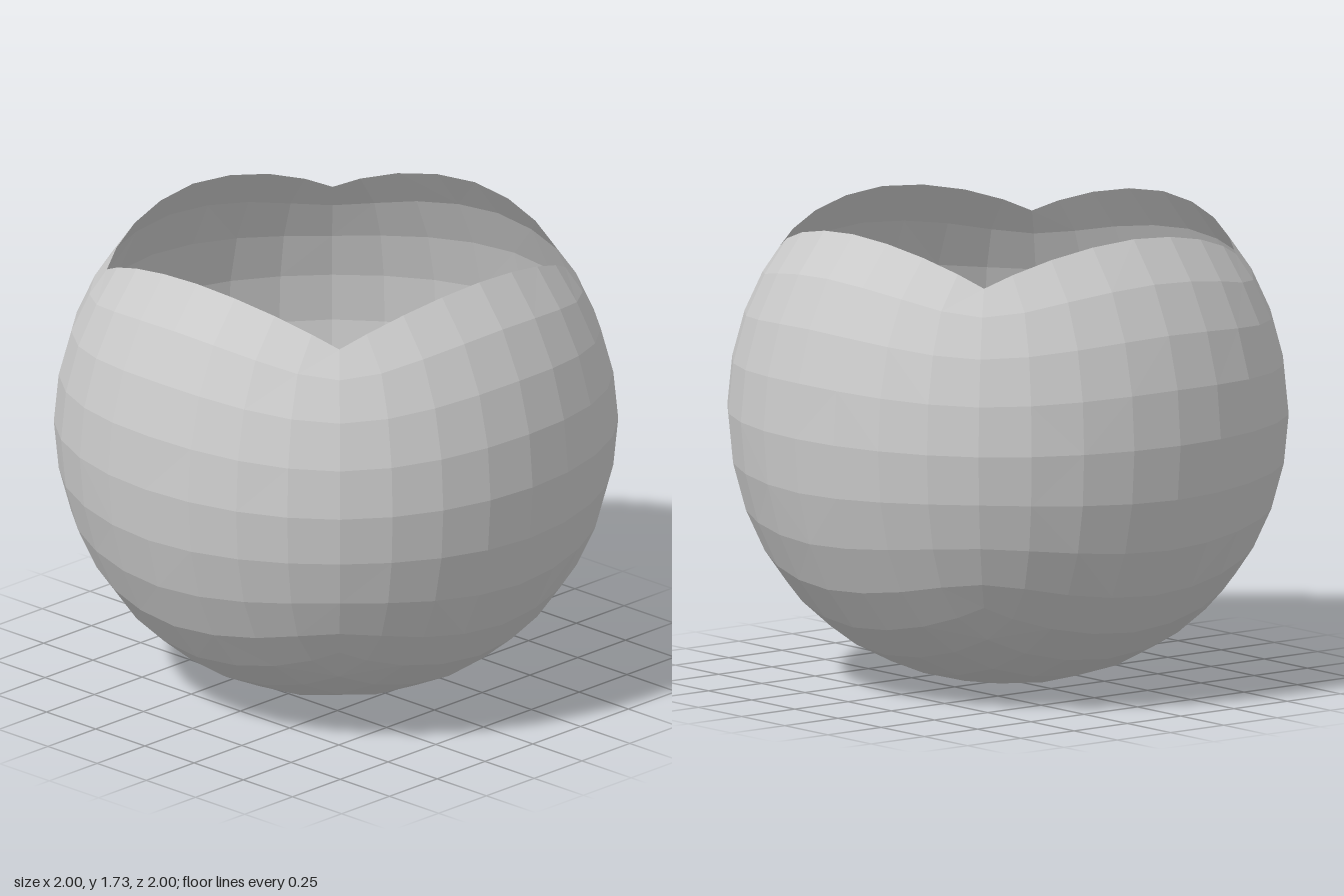
import * as THREE from 'three';

// One Catmull-Clark smoothing step on a closed quad mesh; each quad becomes four in sequence
function subdivide(points, quads) {
  const out = points.map(() => new THREE.Vector3());
  const around = points.map(() => ({ n: 0, faces: new THREE.Vector3(), mids: new THREE.Vector3() }));
  const edges = new Map();
  const edgeKey = (a, b) => (a < b ? `${a}_${b}` : `${b}_${a}`);

  // Face points
  const faceIds = quads.map((q) => {
    const centre = new THREE.Vector3();
    q.forEach((i) => centre.addScaledVector(points[i], 0.25));
    q.forEach((a, k) => {
      const b = q[(k + 1) % 4];
      const key = edgeKey(a, b);
      if (!edges.has(key)) edges.set(key, { a, b, sum: new THREE.Vector3() });
      edges.get(key).sum.add(centre);
      around[a].n++;
      around[a].faces.add(centre);
    });
    return out.push(centre) - 1;
  });

  // Edge points
  for (const e of edges.values()) {
    const ends = points[e.a].clone().add(points[e.b]);
    around[e.a].mids.addScaledVector(ends, 0.5);
    around[e.b].mids.addScaledVector(ends, 0.5);
    e.id = out.push(e.sum.add(ends).multiplyScalar(0.25)) - 1;
  }

  // Moved original points
  points.forEach((p, i) => {
    const { n, faces, mids } = around[i];
    out[i].addScaledVector(faces, 1 / (n * n)).addScaledVector(mids, 2 / (n * n)).addScaledVector(p, (n - 3) / n);
  });

  const newQuads = quads.flatMap((q, f) => q.map((a, k) => [
    a,
    edges.get(edgeKey(a, q[(k + 1) % 4])).id,
    faceIds[f],
    edges.get(edgeKey(q[(k + 3) % 4], a)).id,
  ]));
  return [newQuads, out];
}

export function createModel() {
  // Cube cage: corner index bits are x, y, z; the top side comes last
  let points = Array.from({ length: 8 }, (_, i) =>
    new THREE.Vector3(i & 1 ? 1 : -1, i & 2 ? 1 : -1, i & 4 ? 1 : -1));
  let quads = [
    [4, 5, 7, 6], // front
    [1, 0, 2, 3], // back
    [5, 1, 3, 7], // left
    [0, 4, 6, 2], // right
    [0, 1, 5, 4], // bottom
    [6, 7, 3, 2], // top
  ];
  for (let level = 0; level < 3; level++) [quads, points] = subdivide(points, quads);

  // Leave the top patch open and scale to a width of 2
  const open = quads.slice(0, (quads.length * 5) / 6);
  const radius = Math.max(...points.map((p) => p.x));
  const geometry = new THREE.BufferGeometry().setFromPoints(points);
  geometry.setIndex(open.flatMap(([a, b, c, d]) => [a, b, c, a, c, d]));
  geometry.scale(1 / radius, 1 / radius, 1 / radius);
  geometry.translate(0, 1, 0);
  geometry.computeVertexNormals();

  const bowl = new THREE.Mesh(geometry, new THREE.MeshStandardMaterial({
    color: 0xcccccc, flatShading: true, side: THREE.DoubleSide,
  }));
  bowl.name = 'openBowl';

  const model = new THREE.Group();
  model.name = 'roundBowl';
  model.add(bowl);
  return model;
}
